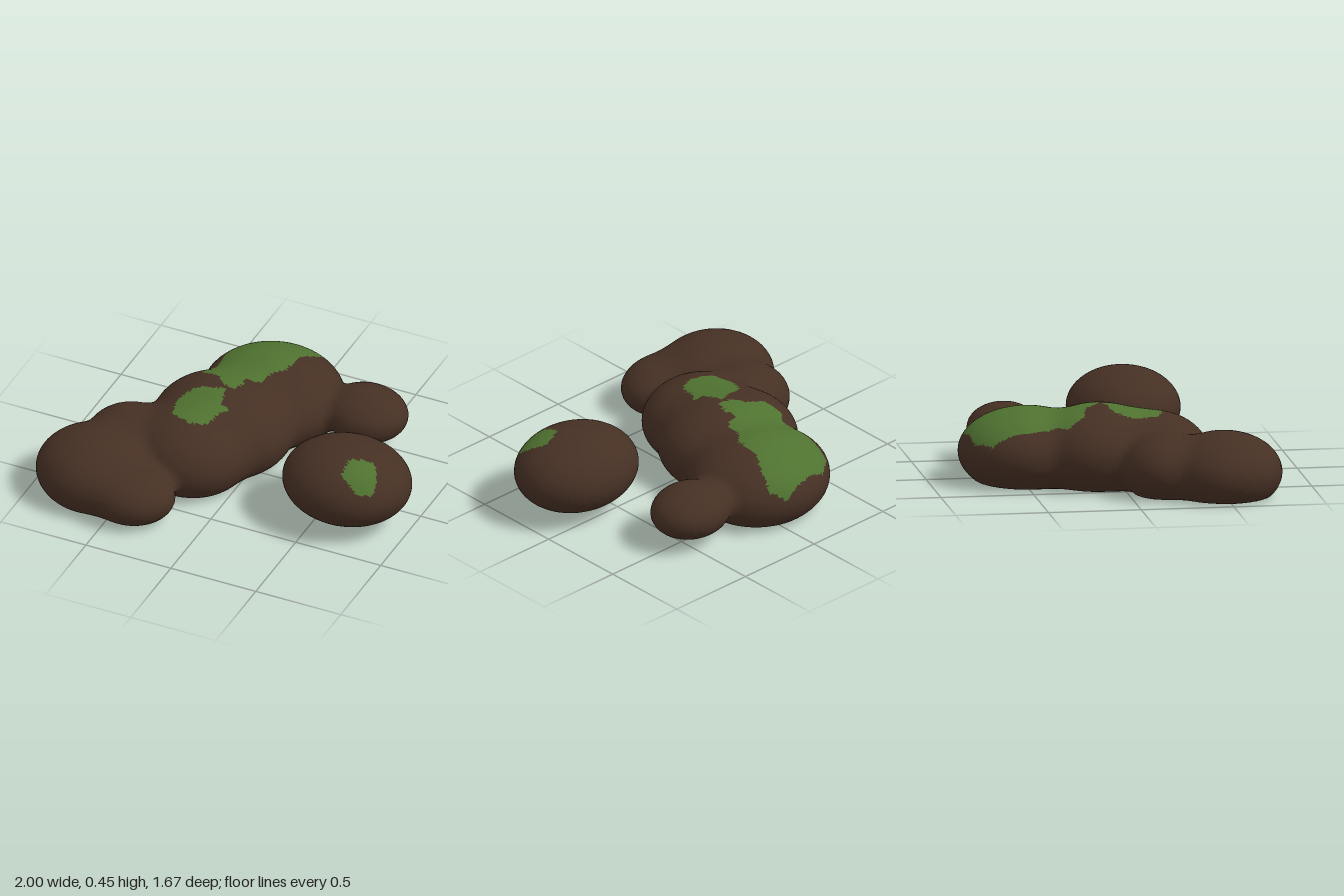
import * as THREE from 'three';

const soil = new THREE.MeshStandardMaterial({ color: 0x463024 });
soil.name = 'darkSoil';
const moss = new THREE.MeshStandardMaterial({ color: 0x4f7230 });
moss.name = 'mossGreen';

const CELL = 0.02;

// Approximate signed distance to an ellipsoid [cx, cy, cz, rx, ry, rz]
function ellipsoid([cx, cy, cz, rx, ry, rz], x, y, z) {
  const a = (x - cx) / rx, b = (y - cy) / ry, c = (z - cz) / rz;
  const k0 = Math.hypot(a, b, c), k1 = Math.hypot(a / rx, b / ry, c / rz);
  return k1 < 1e-6 ? -Math.min(rx, ry, rz) : k0 * (k0 - 1) / k1;
}

// Lumps blended softly together and cut flat at the ground
function lumpField(lumps, blend) {
  return (x, y, z) => {
    let d = Infinity;
    for (const l of lumps) {
      const e = ellipsoid(l, x, y, z);
      const h = Math.max(blend - Math.abs(d - e), 0) / blend;
      d = Math.min(d, e) - h * h * blend / 4;
    }
    return Math.max(d, -y);
  };
}

function insideOutline(outline, x, z) {
  let inside = false;
  outline.forEach(([ax, az], i) => {
    const [bx, bz] = outline[(i + 1) % outline.length];
    if (az > z !== bz > z && x < ax + (bx - ax) * (z - az) / (bz - az)) inside = !inside;
  });
  return inside;
}

// Wraps a skin around the lumps on a grid; faces under a moss outline turn green
function skinLumps(name, lumps, blend, mossOutlines) {
  const field = lumpField(lumps, blend);
  const lo = [0, 1, 2].map(a => Math.min(...lumps.map(l => l[a] - l[a + 3])) - 0.05);
  const hi = [0, 1, 2].map(a => Math.max(...lumps.map(l => l[a] + l[a + 3])) + 0.05);
  lo[1] = -1.5 * CELL;
  const n = lo.map((v, a) => Math.ceil((hi[a] - v) / CELL) + 1);
  const stride = [1, n[0], n[0] * n[1]];
  const values = new Float32Array(n[0] * n[1] * n[2]);
  for (let k = 0, id = 0; k < n[2]; k++)
    for (let j = 0; j < n[1]; j++)
      for (let i = 0; i < n[0]; i++, id++)
        values[id] = field(lo[0] + i * CELL, lo[1] + j * CELL, lo[2] + k * CELL);

  const positions = [], vertexOfCell = new Map();
  // One vertex per crossed cell, at the mean of its edge crossings
  function cellVertex(id) {
    if (vertexOfCell.has(id)) return vertexOfCell.get(id);
    const sum = [0, 0, 0];
    let count = 0;
    for (let a = 0; a < 3; a++) {
      const b = (a + 1) % 3, c = (a + 2) % 3;
      for (let e = 0; e < 4; e++) {
        const u = e & 1, v = e >> 1;
        const p = id + u * stride[b] + v * stride[c];
        const d0 = values[p], d1 = values[p + stride[a]];
        if (d0 < 0 === d1 < 0) continue;
        sum[a] += d0 / (d0 - d1);
        sum[b] += u;
        sum[c] += v;
        count++;
      }
    }
    const cell = [id % n[0], Math.floor(id / n[0]) % n[1], Math.floor(id / stride[2])];
    const index = positions.length / 3;
    positions.push(...cell.map((q, a) => lo[a] + (q + sum[a] / count) * CELL));
    vertexOfCell.set(id, index);
    return index;
  }

  const soilFaces = [], mossFaces = [];
  function addTriangle(...t) {
    const [x, y, z] = [0, 1, 2].map(a => t.reduce((s, v) => s + positions[v * 3 + a], 0) / 3);
    const green = y > 0.2 && mossOutlines.some(o => insideOutline(o, x, z));
    (green ? mossFaces : soilFaces).push(...t);
  }
  for (let k = 1; k < n[2] - 1; k++)
    for (let j = 1; j < n[1] - 1; j++)
      for (let i = 1; i < n[0] - 1; i++) addQuads(i + j * stride[1] + k * stride[2]);
  // A quad around every grid edge that the surface crosses
  function addQuads(id) {
    for (let a = 0; a < 3; a++) {
      const inside = values[id] < 0;
      if (inside === values[id + stride[a]] < 0) continue;
      const sb = stride[(a + 1) % 3], sc = stride[(a + 2) % 3];
      const q = [id, id - sb, id - sb - sc, id - sc].map(cellVertex);
      if (!inside) q.reverse();
      addTriangle(q[0], q[1], q[2]);
      addTriangle(q[0], q[2], q[3]);
    }
  }

  const geometry = new THREE.BufferGeometry();
  geometry.setAttribute('position', new THREE.Float32BufferAttribute(positions, 3));
  geometry.setIndex([...soilFaces, ...mossFaces]);
  geometry.addGroup(0, soilFaces.length, 0);
  geometry.addGroup(soilFaces.length, mossFaces.length, 1);
  geometry.computeVertexNormals();
  const mesh = new THREE.Mesh(geometry, [soil, moss]);
  mesh.name = name;
  return mesh;
}

export function createModel() {
  const group = new THREE.Group();
  group.name = 'mossyMounds';

  // Long mound: a chain of lumps from back to front
  const moundLumps = [
    [-0.09, 0.16, -0.47, 0.39, 0.235, 0.37],  // back
    [0.44, 0.18, -0.51, 0.23, 0.14, 0.2],     // side knob
    [-0.21, 0.17, -0.1, 0.39, 0.255, 0.36],   // middle
    [-0.27, 0.16, 0.16, 0.33, 0.23, 0.32],    // middle front
    [-0.59, 0.14, 0.2, 0.27, 0.19, 0.24],     // left shoulder
    [-0.67, 0.13, 0.5, 0.33, 0.215, 0.31],    // front left
    [-0.42, 0.12, 0.62, 0.25, 0.15, 0.21],    // front toe
  ];
  const backMoss = [
    [-0.27, -0.78], [0.03, -0.82], [0.1, -0.76], [0.08, -0.68], [0.02, -0.57], [0.01, -0.42],
    [-0.05, -0.35], [-0.07, -0.25], [-0.15, -0.23], [-0.12, -0.17], [-0.15, -0.1], [-0.21, -0.11],
    [-0.27, -0.18], [-0.38, -0.21], [-0.42, -0.3], [-0.37, -0.35], [-0.39, -0.5], [-0.37, -0.7],
  ];
  const middleMoss = [
    [-0.38, 0], [-0.33, -0.05], [-0.18, -0.08], [-0.16, 0.04], [-0.1, 0.05], [-0.14, 0.09],
    [-0.16, 0.2], [-0.25, 0.24], [-0.37, 0.19], [-0.4, 0.08],
  ];
  group.add(skinLumps('longMound', moundLumps, 0.06, [backMoss, middleMoss]));

  // Separate rounded lump beside it
  const lump = [[0.645, 0.238, 0.165, 0.355, 0.217, 0.305]];
  const lumpMoss = [[0.7, 0.26], [0.77, 0.22], [0.83, 0.21], [0.88, 0.29], [0.88, 0.36], [0.81, 0.4], [0.7, 0.36]];
  group.add(skinLumps('roundLump', lump, 0.06, [lumpMoss]));
  return group;
}
